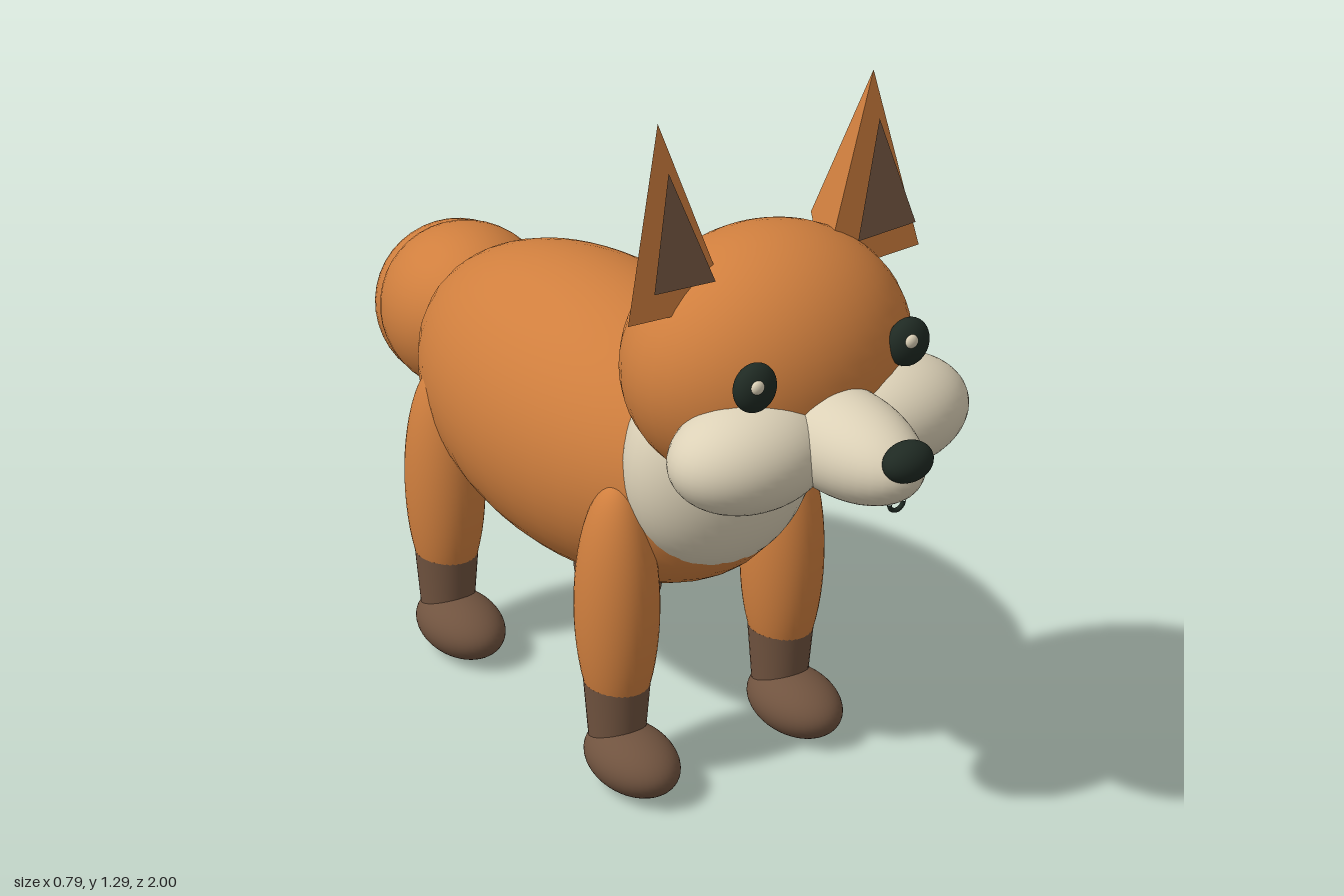
import * as THREE from 'three';
import { ConvexGeometry } from 'three/addons/geometries/ConvexGeometry.js';

const material = (name, color) => {
  const m = new THREE.MeshStandardMaterial({ color });
  m.name = name;
  return m;
};

export function createModel() {
  const fur = material('orange fur', 0xd07f3e);
  const cream = material('cream fur', 0xdcd1b7);
  const brown = material('brown', 0x70533f);
  const dark = material('near black', 0x1f2a23);

  // All parts are placed relative to the animal's own centre line
  const fox = new THREE.Group();
  fox.name = 'fox';
  fox.position.x = -0.105;

  const add = (name, geometry, mat, pos = [0, 0, 0]) => {
    const mesh = new THREE.Mesh(geometry, mat);
    mesh.name = name;
    mesh.position.set(...pos);
    fox.add(mesh);
    return mesh;
  };
  const ball = new THREE.SphereGeometry(1, 40, 28);
  const ellipsoid = (name, mat, pos, radii) => {
    const mesh = add(name, ball, mat, pos);
    mesh.scale.set(...radii);
    return mesh;
  };
  const pyramid = (name, mat, side, points) =>
    add(name, new ConvexGeometry(points.map(([x, y, z]) => new THREE.Vector3(x * side, y, z))), mat);

  // Trunk and head
  ellipsoid('body', fur, [0, 0.542, 0.1], [0.253, 0.272, 0.475]);
  ellipsoid('chest', cream, [0, 0.598, 0.46], [0.18, 0.2, 0.132]);
  ellipsoid('head', fur, [0, 0.843, 0.59], [0.257, 0.222, 0.208]);

  // Muzzle
  ellipsoid('snout', cream, [0, 0.77, 0.8], [0.095, 0.086, 0.18]);
  ellipsoid('nose', dark, [0, 0.803, 0.968], [0.045, 0.034, 0.032]);
  const mouth = add('mouth', new THREE.TorusGeometry(0.014, 0.004, 8, 16, Math.PI), dark, [0, 0.72, 0.943]);
  mouth.rotation.z = Math.PI;

  for (const side of [-1, 1]) {
    const label = side > 0 ? 'left' : 'right';

    // Face
    ellipsoid(label + 'Cheek', cream, [0.14 * side, 0.76, 0.74], [0.145, 0.094, 0.107]);
    ellipsoid(label + 'Eye', dark, [0.153 * side, 0.892, 0.768], [0.039, 0.042, 0.026]);
    ellipsoid(label + 'EyeGlint', cream, [0.153 * side - 0.01, 0.903, 0.789], [0.012, 0.012, 0.008]);

    // Ears: outer pyramid with a smaller one set into its front
    pyramid(label + 'Ear', fur, side, [
      [0.291, 0.974, 0.615], [0.095, 0.965, 0.615], [0.16, 1.02, 0.49], [0.212, 1.29, 0.58],
    ]);
    pyramid(label + 'InnerEar', brown, side, [
      [0.26, 1.032, 0.643], [0.142, 1.026, 0.643], [0.2, 1.04, 0.58], [0.208, 1.214, 0.605],
    ]);

    // Legs
    for (const [end, z, pawZ] of [['Front', 0.41, 0.457], ['Rear', -0.155, -0.11]]) {
      const x = 0.175 * side;
      ellipsoid(label + end + 'Leg', fur, [x, 0.338, z], [0.072, 0.236, 0.08]);
      const sock = add(label + end + 'Sock', new THREE.CylinderGeometry(0.057, 0.047, 0.13, 32), brown, [x, 0.128, z]);
      sock.scale.z = 1.1;
      ellipsoid(label + end + 'Paw', brown, [x, 0.058, pawZ], [0.072, 0.057, 0.107]);
    }
  }

  // Tail: ellipsoids whose long axis follows the curve of the tail
  const tail = [
    ['tailBase', fur, [0.052, 0.52, -0.44], [0.3, -0.3, -0.9], 0.163, 0.215],
    ['tailMiddle', fur, [0.19, 0.395, -0.7], [0.55, -0.39, -0.74], 0.165, 0.225],
    ['tailTip', cream, [0.352, 0.31, -0.857], [0.68, -0.32, -0.64], 0.12, 0.17],
  ];
  for (const [name, mat, pos, dir, r, length] of tail) {
    const mesh = ellipsoid(name, mat, pos, [r, length, r]);
    mesh.quaternion.setFromUnitVectors(new THREE.Vector3(0, 1, 0), new THREE.Vector3(...dir).normalize());
  }

  const model = new THREE.Group();
  model.name = 'model';
  model.add(fox);
  return model;
}
